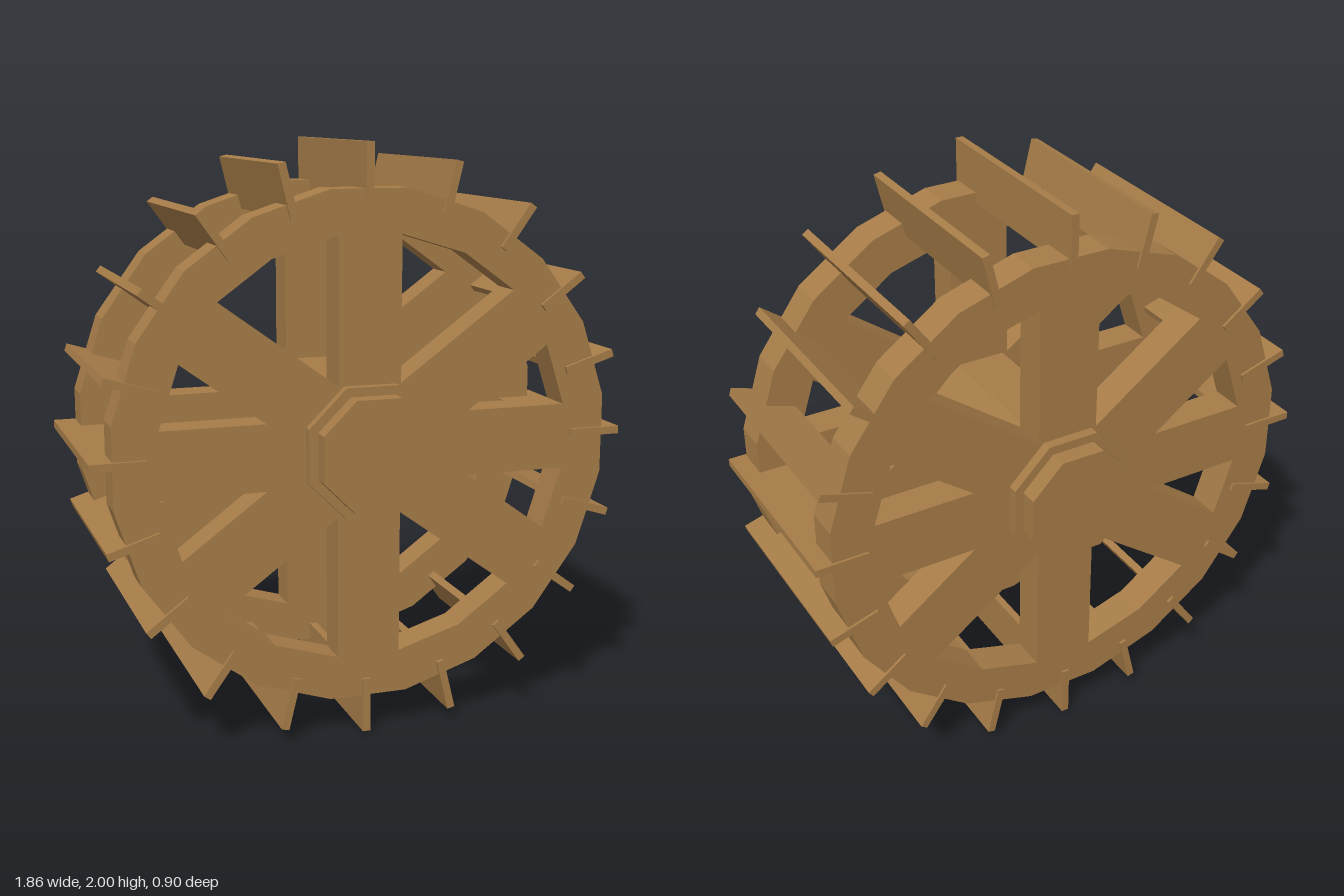
import * as THREE from 'three';

export function createModel() {
  const model = new THREE.Group();
  model.name = 'waterWheel';
  const wood = new THREE.MeshStandardMaterial({ color: 0xa67c48, flatShading: true });
  const CX = 0.0075, CY = 0.99;

  const add = (name, geometry, x, y, z) => {
    const mesh = new THREE.Mesh(geometry, wood);
    mesh.name = name;
    mesh.position.set(x, y, z);
    model.add(mesh);
    return mesh;
  };

  // Side wheels: 20-sided rim and eight spokes cut from one plate
  const outline = [];
  for (let i = 0; i < 20; i++) {
    const a = (i + 0.5) * Math.PI / 10;
    outline.push(new THREE.Vector2(0.872 * Math.cos(a), 0.872 * Math.sin(a)));
  }
  const plate = new THREE.Shape(outline);
  const openings = [
    [[0.11, 0.222], [0.11, 0.713], [0.333, 0.645], [0.513, 0.515]],
    [[0.355, 0.113], [0.642, 0.323], [0.71, 0.113]],
  ];
  for (const sx of [1, -1]) for (const sy of [1, -1]) for (const points of openings) {
    plate.holes.push(new THREE.Path(points.map(([x, y]) => new THREE.Vector2(x * sx, y * sy))));
  }
  const wheel = new THREE.ExtrudeGeometry(plate, { depth: 0.122, bevelEnabled: false });
  wheel.translate(0, 0, -0.061);
  add('frontWheel', wheel, CX, CY, 0.296);
  add('backWheel', wheel, CX, CY, -0.293);

  // Octagonal hub and the longer axle through it
  const octagon = (inradius, length) => {
    const r = inradius / Math.cos(Math.PI / 8);
    return new THREE.CylinderGeometry(r, r, length, 8).rotateY(Math.PI / 8).rotateX(Math.PI / 2);
  };
  add('hub', octagon(0.221, 0.78), CX, CY, 0);
  add('axle', octagon(0.19, 0.905), CX, CY, 0);

  // Paddles: boards running from an inner to an outer point
  const paddle = (x0, y0, x1, y1) => {
    const length = Math.hypot(x1 - x0, y1 - y0);
    const board = add('paddle', new THREE.BoxGeometry(0.027, length, 0.732),
      (x0 + x1) / 2, (y0 + y1) / 2, 0.003);
    board.rotation.z = -Math.atan2(x1 - x0, y1 - y0);
  };
  paddle(0.002, 1.815, 0.002, 2);
  paddle(-0.002, 0.19, -0.002, 0);
  paddle(0.745, 1, 0.93, 1);
  paddle(-0.745, 1, -0.93, 1);
  const slanted = [
    [0.26, 0.769, 0.303, 0.946],
    [0.469, 0.653, 0.572, 0.797],
    [0.62, 0.451, 0.763, 0.558],
    [0.714, 0.23, 0.888, 0.284],
  ];
  for (const sx of [1, -1]) for (const sy of [1, -1]) for (const [x0, y0, x1, y1] of slanted) {
    paddle(0.009 + sx * x0, CY + sy * y0, 0.009 + sx * x1, CY + sy * y1);
  }
  return model;
}
